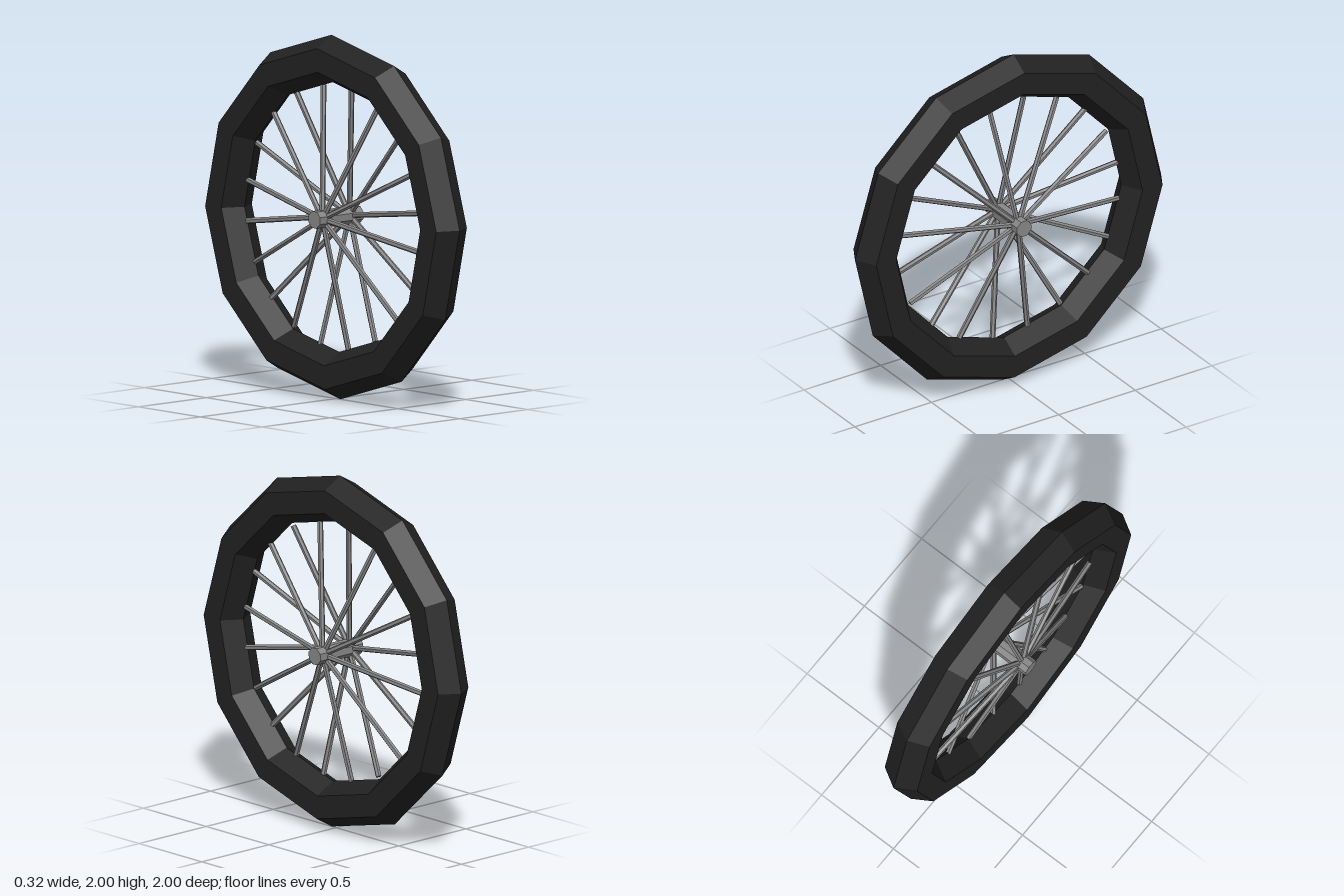
import * as THREE from 'three';

const rad = THREE.MathUtils.degToRad;
const rubber = new THREE.MeshStandardMaterial({ color: 0x222222, flatShading: true });
const metal = new THREE.MeshStandardMaterial({ color: 0x888888, flatShading: true });

// Thin rod running from point a to point b
function rod(a, b, radius) {
  const dir = b.clone().sub(a);
  const mesh = new THREE.Mesh(new THREE.CylinderGeometry(radius, radius, dir.length(), 6), metal);
  mesh.position.copy(a).add(b).multiplyScalar(0.5);
  mesh.quaternion.setFromUnitVectors(new THREE.Vector3(0, 1, 0), dir.normalize());
  return mesh;
}

export function createModel() {
  const wheel = new THREE.Group();
  wheel.name = 'wheel';
  wheel.position.y = 1;

  // Twelve-sided tyre with a hexagonal section, axle along x
  const tyreGeometry = new THREE.TorusGeometry(0.87, 0.13, 6, 12);
  tyreGeometry.rotateZ(rad(-2)).rotateY(Math.PI / 2);
  const tyre = new THREE.Mesh(tyreGeometry, rubber);
  tyre.name = 'tyre';
  wheel.add(tyre);

  // Hub
  const hubGeometry = new THREE.CylinderGeometry(0.05, 0.05, 0.32, 8);
  hubGeometry.rotateZ(Math.PI / 2).rotateX(rad(24.5));
  const hub = new THREE.Mesh(hubGeometry, metal);
  hub.name = 'hub';
  wheel.add(hub);

  // Spokes lean alternately from the two ends of the hub to the middle of the rim
  const spokes = new THREE.Group();
  spokes.name = 'spokes';
  for (let i = 0; i < 20; i++) {
    const angle = rad(10 + i * 18);
    const side = i % 2 === 0 ? 1 : -1;
    const inner = new THREE.Vector3(side * 0.1, 0, 0);
    const outer = new THREE.Vector3(0, Math.cos(angle) * 0.725, Math.sin(angle) * 0.725);
    const spoke = rod(inner, outer, 0.016);
    spoke.name = 'spoke';
    spokes.add(spoke);
  }
  wheel.add(spokes);

  const model = new THREE.Group();
  model.add(wheel);
  return model;
}
